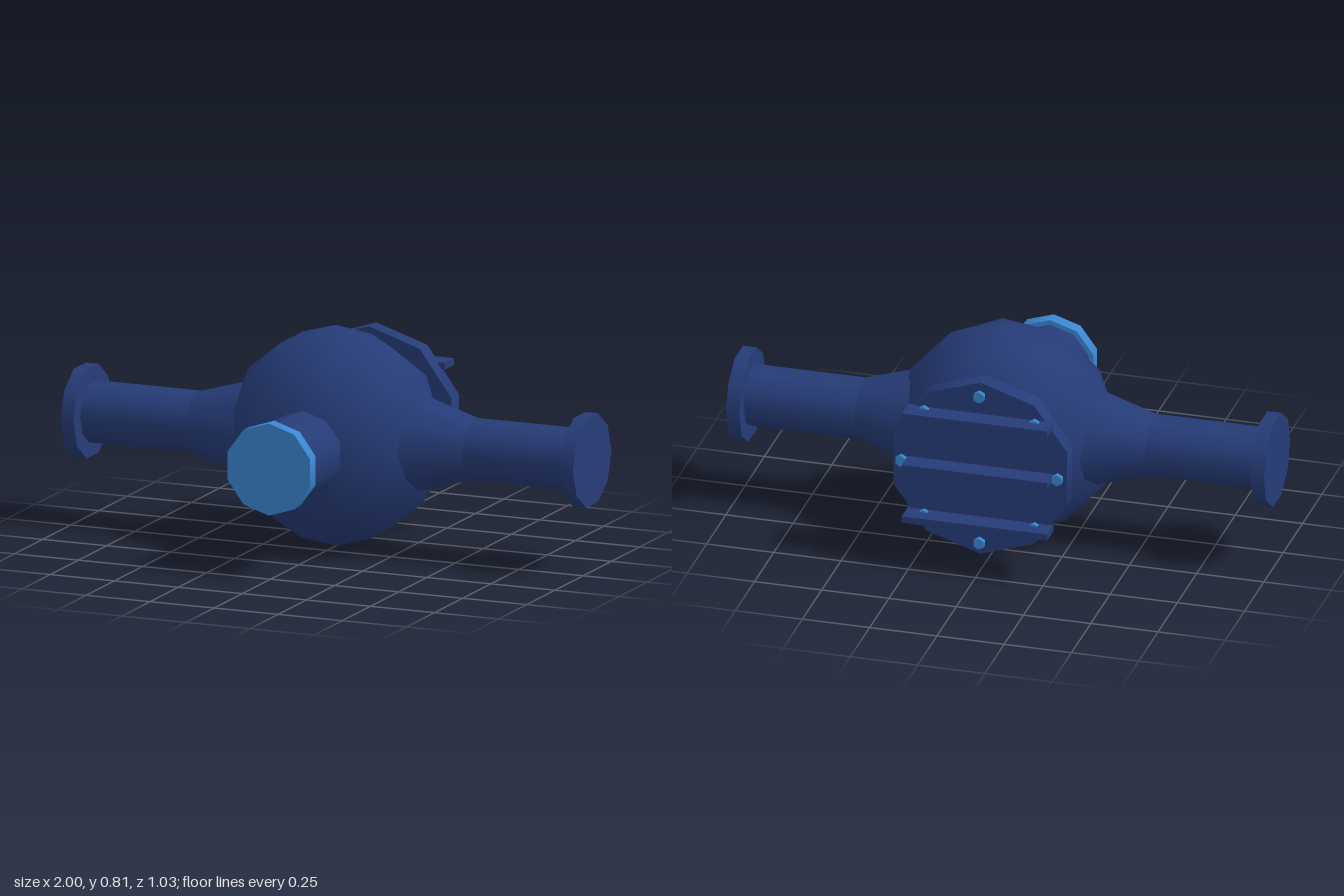
import * as THREE from 'three';

export function createModel() {
  const model = new THREE.Group();
  const darkBlue = new THREE.MeshStandardMaterial({ color: 0x263c78 });
  darkBlue.name = 'dark blue';
  const lightBlue = new THREE.MeshStandardMaterial({ color: 0x3a87d2 });
  lightBlue.name = 'light blue';

  const CY = 0.409, CZ = -0.08; // centre of the housing
  const SIDES = 10;

  const add = (name, geometry, material, x, y, z, parent = model) => {
    const mesh = new THREE.Mesh(geometry, material);
    mesh.name = name;
    mesh.position.set(x, y, z);
    parent.add(mesh);
    return mesh;
  };

  // Cylinder lying along z, from z0 (radius r0) to z1 (radius r1)
  const alongZ = (name, r0, r1, z0, z1, material, x = 0, y = CY, sides = SIDES, parent = model) =>
    add(name, new THREE.CylinderGeometry(r1, r0, z1 - z0, sides).rotateX(Math.PI / 2),
      material, x, y, (z0 + z1) / 2, parent);

  // Cylinder lying along x, from x0 (radius r0) to x1 (radius r1)
  const alongX = (name, r0, r1, x0, x1, parent) =>
    add(name, new THREE.CylinderGeometry(r0, r1, x1 - x0, SIDES).rotateZ(Math.PI / 2),
      darkBlue, (x0 + x1) / 2, 0, 0, parent);

  // Rounded differential housing: a faceted ball with a corner at the top, flattened in z
  const ball = new THREE.IcosahedronGeometry(0.405, 1)
    .rotateZ(-Math.atan(2 / (1 + Math.sqrt(5))))
    .scale(1, 1, 0.81);
  add('housing', ball, darkBlue, 0, CY, CZ);

  // Axle arms, the second turned half a circle
  for (const [name, turn] of [['leftAxle', 0], ['rightAxle', Math.PI]]) {
    const axle = new THREE.Group();
    axle.name = name;
    axle.position.set(0, CY, CZ);
    axle.rotation.y = turn;
    alongX('axleFlare', 0.2, 0.112, 0.24, 0.54, axle);
    alongX('axleTube', 0.112, 0.112, 0.5, 0.96, axle);
    alongX('axleFlange', 0.171, 0.171, 0.95, 1, axle);
    model.add(axle);
  }

  // Input neck and its flange at the front
  alongZ('inputNeck', 0.151, 0.151, 0, 0.47, darkBlue);
  alongZ('inputFlange', 0.169, 0.169, 0.465, 0.515, lightBlue);

  // Rear cover with three cooling ribs
  const cover = new THREE.Group();
  cover.name = 'rearCover';
  model.add(cover);
  alongZ('coverPlate', 0.339, 0.339, -0.438, -0.37, darkBlue, 0, CY, SIDES, cover);
  for (const dy of [-0.204, 0, 0.204]) {
    add('coverRib', new THREE.BoxGeometry(0.54, 0.025, 0.085), darkBlue, 0, CY + dy, -0.4725, cover);
  }

  // Ring of cover bolts
  for (let i = 0; i < 8; i++) {
    const a = (i * Math.PI) / 4;
    alongZ('coverBolt', 0.022, 0.022, -0.463, -0.445, lightBlue,
      0.29 * Math.sin(a), CY + 0.29 * Math.cos(a), 6, cover);
  }

  return model;
}
